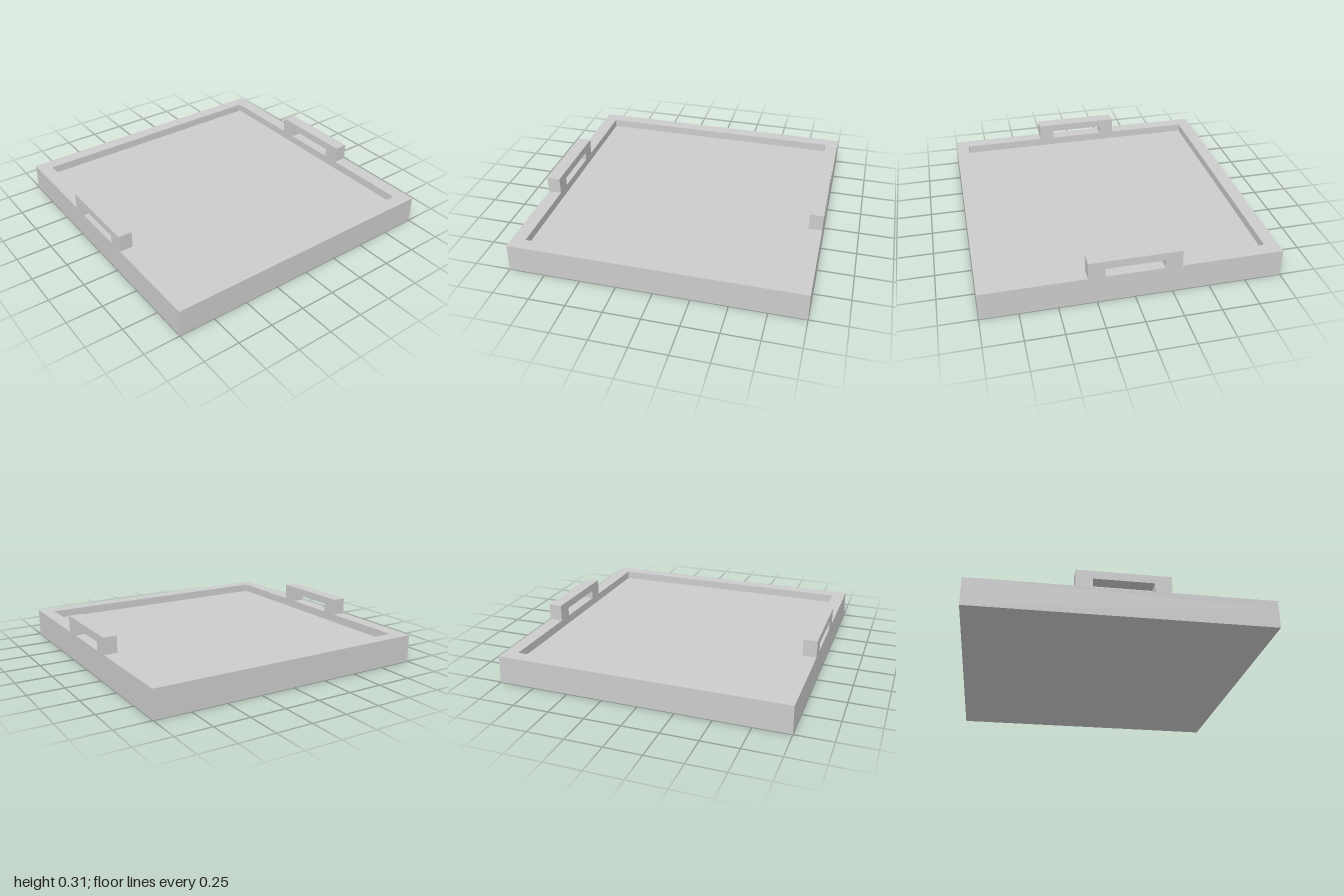
import * as THREE from 'three';

const HALF = 1, INNER = 0.906, FLOOR = 0.135, RIM = 0.193, TOP = 0.31;

function polygon(points, Type = THREE.Shape) {
  return new Type(points.map(([x, y]) => new THREE.Vector2(x, y)));
}

function roundedSquare(h, r) {
  const path = new THREE.Path();
  path.moveTo(h - r, -h);
  path.absarc(h - r, -h + r, r, -Math.PI / 2, 0);
  path.absarc(h - r, h - r, r, 0, Math.PI / 2);
  path.absarc(-h + r, h - r, r, Math.PI / 2, Math.PI);
  path.absarc(-h + r, -h + r, r, Math.PI, Math.PI * 1.5);
  path.closePath();
  return path;
}

export function createModel() {
  const group = new THREE.Group();
  group.name = 'servingTray';
  const material = new THREE.MeshStandardMaterial({ color: 0xcccccc });
  const add = (name, geometry) => {
    const mesh = new THREE.Mesh(geometry, material);
    mesh.name = name;
    group.add(mesh);
    return mesh;
  };

  // Solid base whose top is the tray floor
  add('base', new THREE.BoxGeometry(2 * HALF, FLOOR, 2 * HALF)).position.y = FLOOR / 2;

  // Raised rim with slightly rounded inner corners
  const rim = polygon([[-HALF, -HALF], [HALF, -HALF], [HALF, HALF], [-HALF, HALF]]);
  rim.holes.push(roundedSquare(INNER, 0.012));
  const rimGeometry = new THREE.ExtrudeGeometry(rim, { depth: RIM - FLOOR, bevelEnabled: false, curveSegments: 4 });
  rimGeometry.rotateX(-Math.PI / 2);
  add('rim', rimGeometry).position.y = FLOOR;

  // Bridge-shaped handles on the front and back rims
  const outer = 0.308, grip = 0.197, gripTop = 0.254;
  const handle = polygon([
    [-outer, RIM], [-grip, RIM], [-grip, gripTop], [grip, gripTop],
    [grip, RIM], [outer, RIM], [outer, TOP], [-outer, TOP],
  ]);
  const handleGeometry = new THREE.ExtrudeGeometry(handle, { depth: HALF - INNER, bevelEnabled: false });
  add('frontHandle', handleGeometry).position.z = INNER;
  add('backHandle', handleGeometry).position.z = -HALF;

  return group;
}
